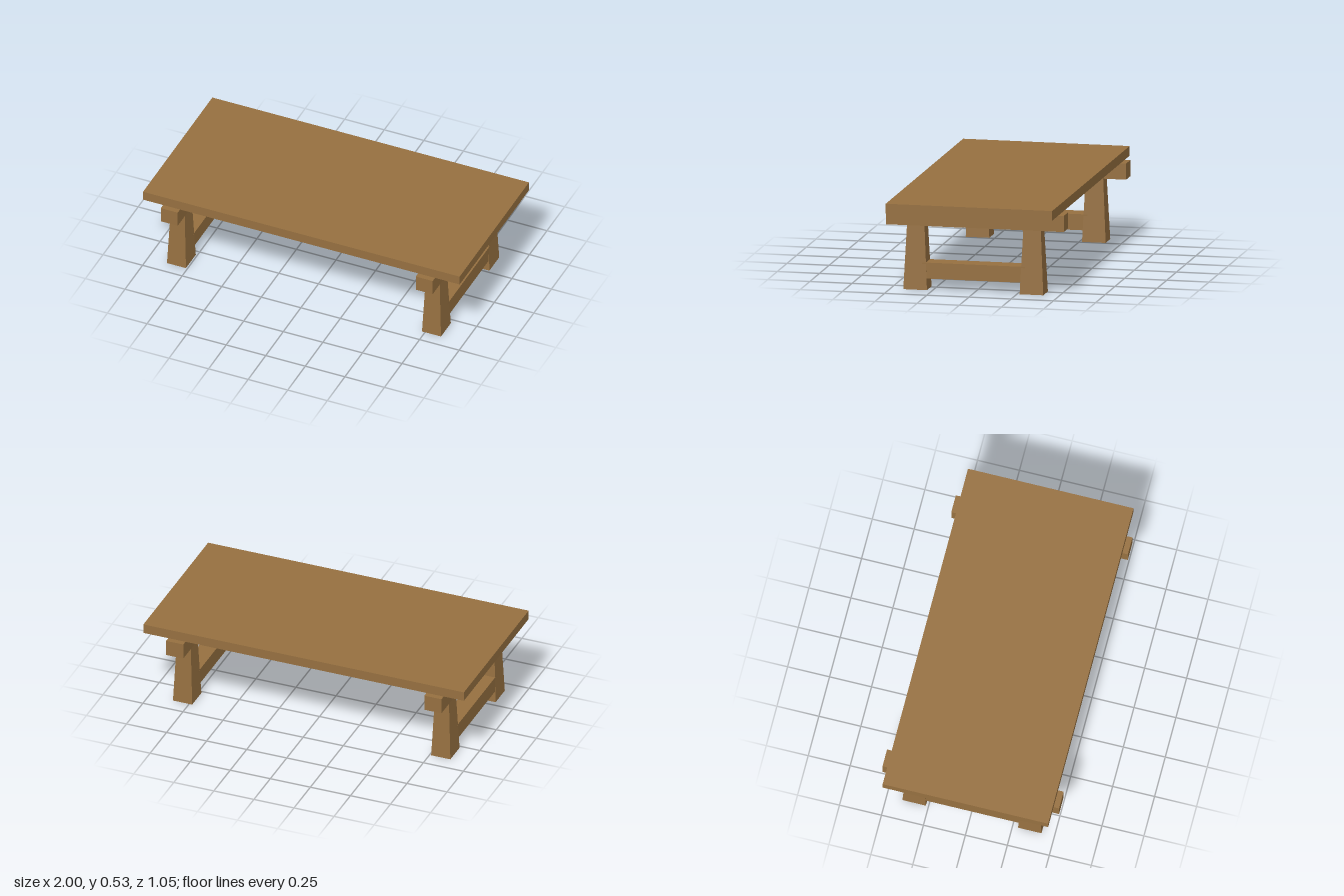
import * as THREE from 'three';

export function createModel() {
  const table = new THREE.Group();
  table.name = 'lowTable';

  const wood = new THREE.MeshStandardMaterial({ color: 0x967040 });
  wood.name = 'brown wood';

  // Box spanning y0..y1, whose top may be narrowed to topW x topD
  function block(name, [w, d], [y0, y1], [x, z], [topW, topD] = [w, d]) {
    const h = y1 - y0;
    const geometry = new THREE.BoxGeometry(w, h, d);
    const p = geometry.attributes.position;
    for (let i = 0; i < p.count; i++) {
      if (p.getY(i) > 0) {
        p.setX(i, p.getX(i) * topW / w);
        p.setZ(i, p.getZ(i) * topD / d);
      }
    }
    geometry.computeVertexNormals();
    const mesh = new THREE.Mesh(geometry, wood);
    mesh.name = name;
    mesh.position.set(x, y0 + h / 2, z);
    return mesh;
  }

  table.add(block('tableTop', [2, 0.986], [0.471, 0.528], [0, 0]));

  // Two trestles: cross beam, stretcher and a pair of tapered legs
  const frontZ = 0.353, backZ = -0.336;
  for (const [side, x] of [['left', 0.791], ['right', -0.82]]) {
    const trestle = new THREE.Group();
    trestle.name = side + 'Trestle';
    trestle.add(
      block('crossBeam', [0.107, 1.052], [0.376, 0.471], [x, 0]),
      block('stretcher', [0.107, frontZ - backZ - 0.08], [0.067, 0.161], [x, (frontZ + backZ) / 2]),
      block('frontLeg', [0.12, 0.14], [0, 0.376], [x, frontZ], [0.088, 0.104]),
      block('backLeg', [0.12, 0.14], [0, 0.376], [x, backZ], [0.088, 0.104])
    );
    table.add(trestle);
  }

  return table;
}
